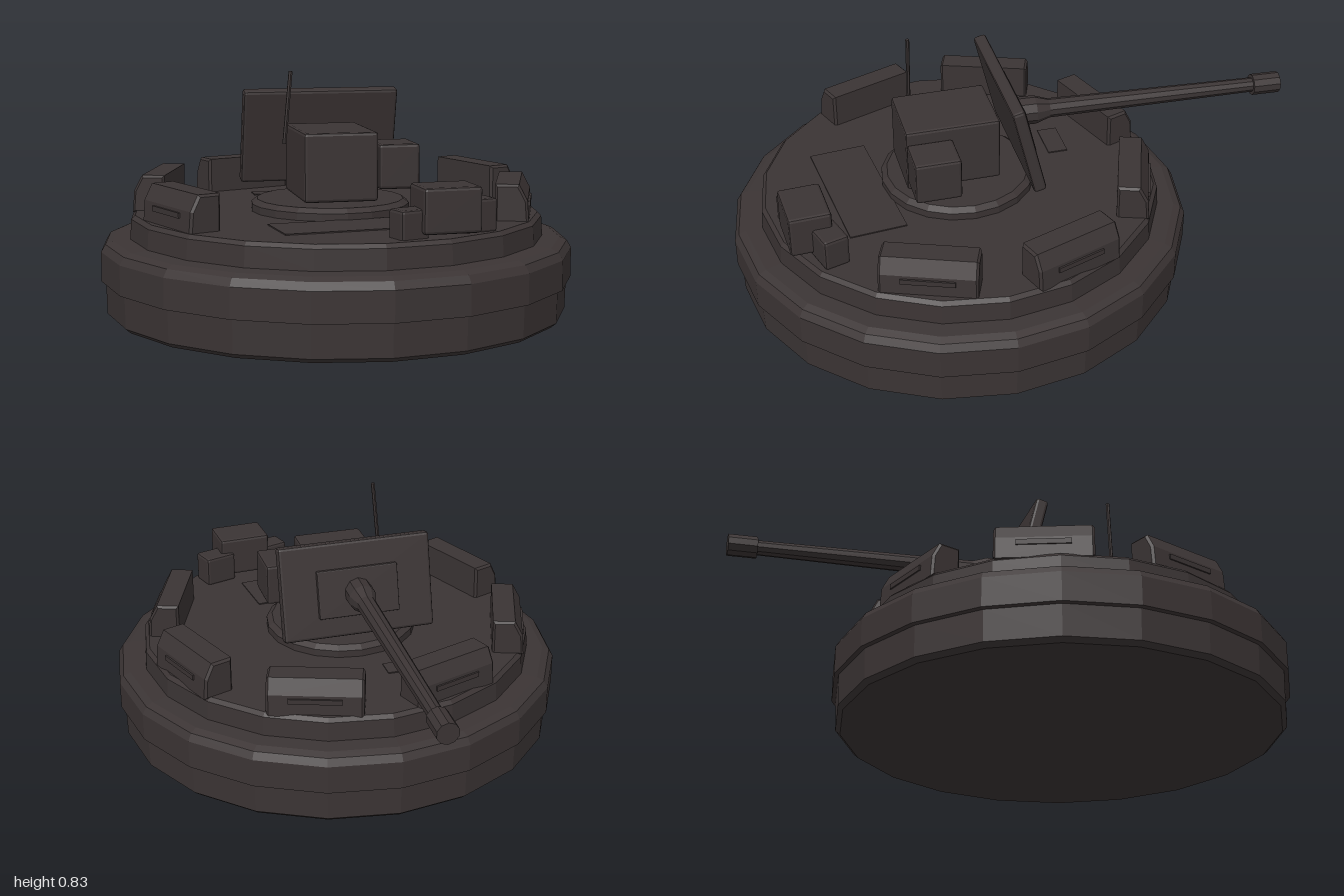
import * as THREE from 'three';
import { RoundedBoxGeometry } from 'three/addons/geometries/RoundedBoxGeometry.js';

export function createModel() {
  const model = new THREE.Group();
  model.name = 'gunTurret';
  const steel = new THREE.MeshStandardMaterial({ color: 0x3b3434, flatShading: true });
  steel.name = 'darkSteel';

  const add = (name, geo, pos, rot = [0, 0, 0], parent = model) => {
    const mesh = new THREE.Mesh(geo, steel);
    mesh.name = name;
    mesh.position.set(...pos);
    mesh.rotation.set(...rot);
    parent.add(mesh);
    return mesh;
  };
  const box = (w, h, d, r = 0.01) => new RoundedBoxGeometry(w, h, d, 1, r);
  const lathe = (pts, sides = 20) =>
    new THREE.LatheGeometry(pts.map(([r, y]) => new THREE.Vector2(r, y)), sides);

  // Stepped round hull with a belt and a raised deck
  add('hull', lathe([
    [0, 0.235], [0.765, 0.235], [0.782, 0.25], [0.785, 0.357], [0.8, 0.36], [0.8, 0.46],
    [0.785, 0.485], [0.76, 0.496], [0.702, 0.5], [0.698, 0.567], [0.685, 0.58], [0, 0.58],
  ]), [0, 0, 0.19]);

  // Turntable ring
  add('turntable', lathe([
    [0.27, 0.575], [0.27, 0.605], [0.25, 0.62], [0, 0.62],
  ]), [-0.02, 0, 0.19]);

  // Flat hatches on the deck
  add('frontHatch', new THREE.BoxGeometry(0.52, 0.008, 0.2), [-0.02, 0.58, 0.55], [0, 0.1, 0]);
  add('rearHatch', new THREE.BoxGeometry(0.15, 0.008, 0.07), [-0.145, 0.58, -0.195]);

  // Cabin and its side locker
  add('cabin', box(0.25, 0.23, 0.33), [-0.025, 0.747, 0.228]);
  add('sideLocker', box(0.14, 0.15, 0.16), [0.172, 0.745, 0.312]);

  // Leaning gun shield with a backing plate
  const shield = new THREE.Group();
  shield.name = 'gunShield';
  shield.position.set(-0.02, 0.815, 0);
  shield.rotation.x = 0.24;
  model.add(shield);
  add('shieldPlate', box(0.545, 0.335, 0.045), [0, 0, 0], [0, 0, 0], shield);
  add('mantletPlate', box(0.29, 0.17, 0.02, 0.004), [0, -0.01, -0.028], [0, 0, 0], shield);

  // Barrel, pointing to the back and drooping slightly
  const gun = new THREE.Group();
  gun.name = 'gun';
  gun.position.set(-0.02, 0.812, 0);
  gun.rotation.set(-Math.PI / 2 - 0.025, 0, -0.014);
  model.add(gun);
  add('barrel', lathe([
    [0, 0], [0.05, 0], [0.05, 0.09], [0.034, 0.14], [0.026, 0.9], [0.038, 0.9], [0.038, 1.0], [0, 1.0],
  ], 10), [0, 0, 0], [0, 0, 0], gun);

  // Thin aerial
  add('aerial', new THREE.CylinderGeometry(0.007, 0.007, 0.24, 6), [-0.192, 0.942, 0.32], [0, 0, -0.09]);

  // Armour blocks around the deck, with sloped outer faces and a slot plate
  const profile = new THREE.Shape();
  profile.moveTo(-0.045, 0);
  profile.lineTo(0.05, 0);
  profile.lineTo(0.045, 0.065);
  profile.lineTo(0.02, 0.112);
  profile.lineTo(-0.045, 0.112);
  profile.closePath();
  const blockGeo = new THREE.ExtrudeGeometry(profile, {
    depth: 0.31, bevelEnabled: true, bevelSize: 0.008, bevelThickness: 0.008, bevelSegments: 1,
  });
  blockGeo.translate(0, 0, -0.155);
  blockGeo.rotateY(-Math.PI / 2);
  const block = (name, x, z, nx, nz) => {
    const g = new THREE.Group();
    g.name = name;
    g.position.set(x, 0.58, z);
    g.rotation.y = Math.atan2(nx, nz);
    model.add(g);
    add('blockBody', blockGeo, [0, 0, 0], [0, 0, 0], g);
    add('blockSlot', new THREE.BoxGeometry(0.18, 0.018, 0.008), [0, 0.048, 0.056], [0, 0, 0], g);
  };
  for (const [s, side] of [[1, 'left'], [-1, 'right']]) {
    block(side + 'RearBlock', s * 0.23, -0.378, s * 0.33, -0.94);
    block(side + 'MiddleBlock', s * 0.573, -0.05, s * 0.94, -0.34);
    block(side + 'FrontBlock', s * 0.558, 0.418, s * 0.94, 0.36);
  }

  // Cluster of boxes on the front edge
  add('frontBox', box(0.19, 0.145, 0.145), [0.22, 0.665, 0.765], [0, 0.06, 0]);
  add('frontBoxSmall', box(0.1, 0.1, 0.08), [0.095, 0.62, 0.79], [0, 0.3, 0]);
  add('frontBoxSide', box(0.12, 0.11, 0.09), [0.33, 0.63, 0.705], [0, 0.3, 0]);

  return model;
}
